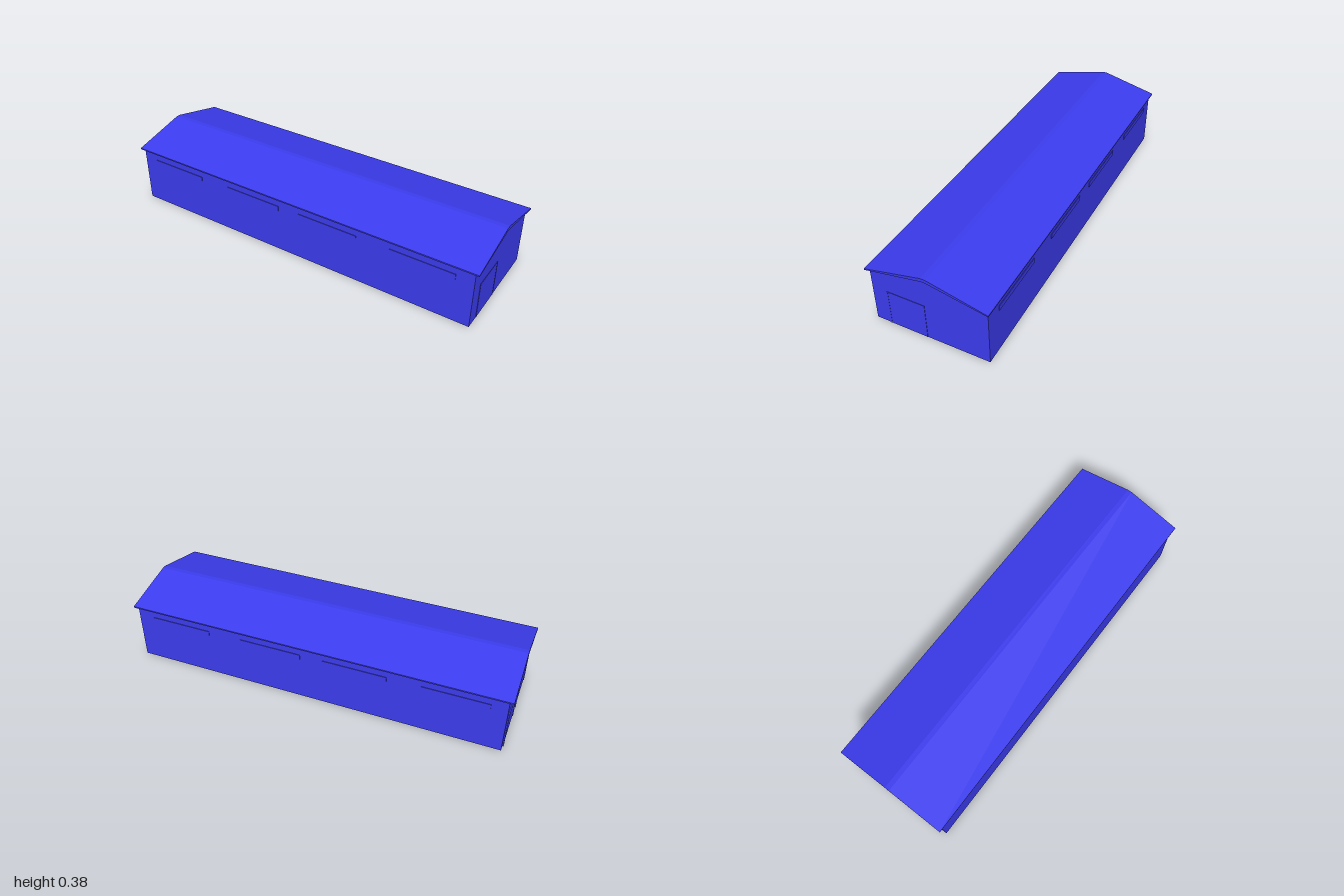
import * as THREE from 'three';

const LEN = 1.96, WALL_X = 0.98, WALL_Z = 0.295, WALL_H = 0.307;

export function createModel() {
  const model = new THREE.Group();
  model.name = 'longHall';
  const mat = new THREE.MeshStandardMaterial({ color: 0x3c3cf0, side: THREE.DoubleSide, flatShading: true });

  const add = (name, geometry, parent = model) => {
    const mesh = new THREE.Mesh(geometry, mat);
    mesh.name = name;
    parent.add(mesh);
    return mesh;
  };
  const outline = (pts) => new THREE.Shape(pts.map(([a, b]) => new THREE.Vector2(a, b)));

  // Thin long walls; the hall has no floor
  for (const s of [1, -1]) {
    const wall = add(s > 0 ? 'frontWall' : 'backWall', new THREE.PlaneGeometry(LEN, WALL_H));
    wall.position.set(0, WALL_H / 2, s * WALL_Z);
    if (s < 0) wall.rotation.y = Math.PI;
  }

  // Gable walls
  const gable = outline([[-WALL_Z, 0], [WALL_Z, 0], [WALL_Z, WALL_H], [0.008, 0.364], [-0.008, 0.364], [-WALL_Z, WALL_H]]);
  for (const s of [1, -1]) {
    const end = add(s > 0 ? 'leftGable' : 'rightGable', new THREE.ShapeGeometry(gable));
    end.position.x = s * WALL_X;
    end.rotation.y = s * Math.PI / 2;
  }

  // Roof slab, thicker at the flat ridge than at the eaves
  const roof = add('roof', new THREE.ExtrudeGeometry(outline([
    [-0.308, 0.305], [-0.008, 0.364], [0.008, 0.364], [0.308, 0.305],
    [0.308, 0.312], [0.012, 0.382], [-0.012, 0.382], [-0.308, 0.312],
  ]), { depth: 2, bevelEnabled: false }));
  roof.rotation.y = Math.PI / 2;
  roof.position.x = -1;

  // Door: a three-sided frame straddling the wall, with a panel inside
  const addDoor = (name, side, z0, z1, height, frame, proud) => {
    const door = new THREE.Group();
    door.name = name;
    door.position.set(side * WALL_X, 0, (z0 + z1) / 2);
    model.add(door);
    const width = z1 - z0;
    for (const s of [1, -1]) {
      add('doorJamb', new THREE.BoxGeometry(2 * proud, height, frame), door)
        .position.set(0, height / 2, s * (width - frame) / 2);
    }
    add('doorLintel', new THREE.BoxGeometry(2 * proud, frame, width - 2 * frame), door)
      .position.y = height - frame / 2;
    add('doorPanel', new THREE.BoxGeometry(proud, height - frame, width - 2 * frame), door)
      .position.y = (height - frame) / 2;
  };
  addDoor('leftDoor', 1, 0.023, 0.219, 0.196, 0.005, 0.002);
  addDoor('rightDoorBack', -1, -0.265, -0.03, 0.196, 0.008, 0.006);
  addDoor('rightDoorFront', -1, 0.03, 0.265, 0.196, 0.008, 0.006);

  // Four shallow window strips high on each long wall
  for (const s of [1, -1]) {
    for (const x of [-0.735, -0.235, 0.215, 0.725]) {
      add('windowStrip', new THREE.BoxGeometry(0.33, 0.027, 0.006))
        .position.set(x, 0.249, s * WALL_Z);
    }
  }

  return model;
}
